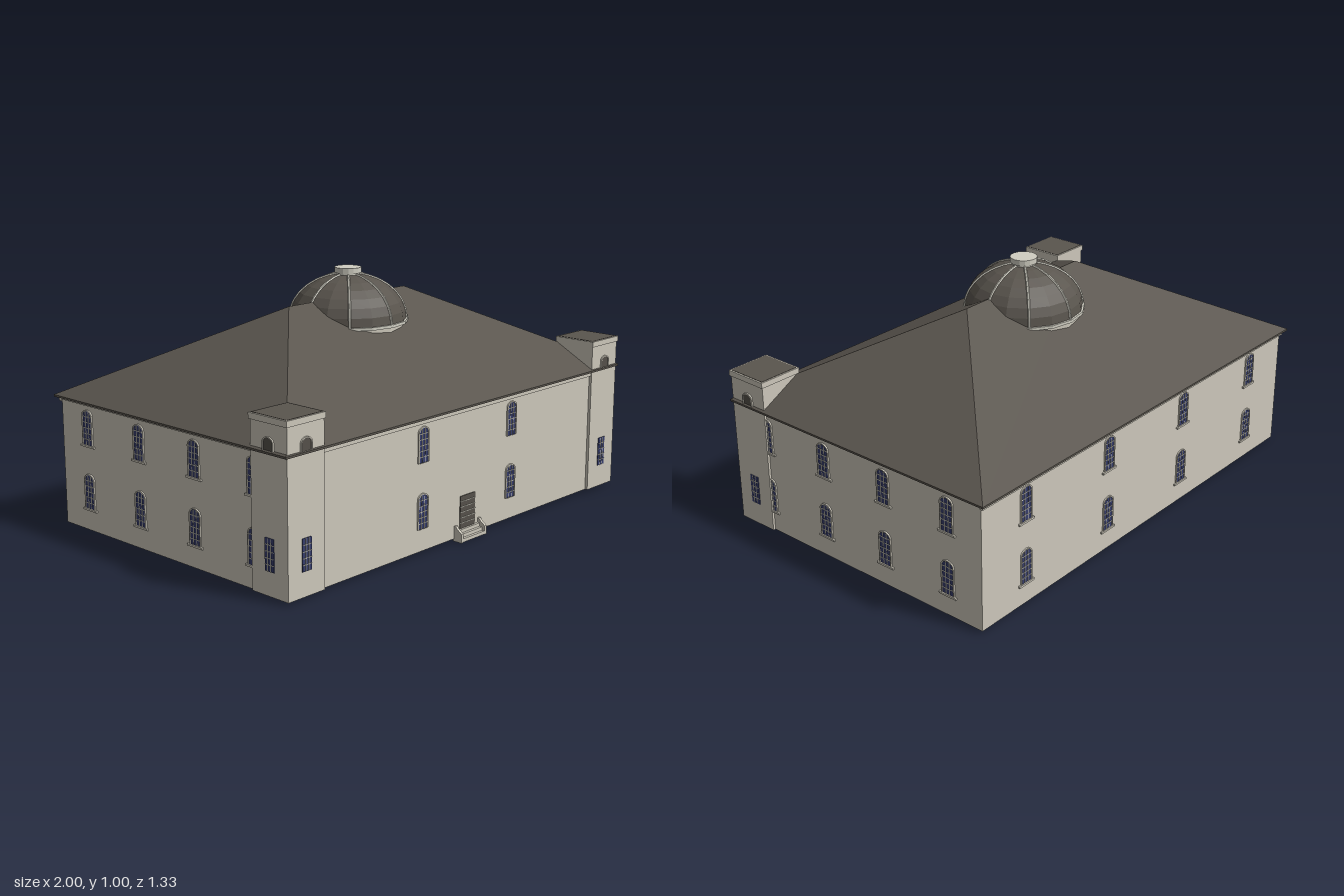
import * as THREE from 'three';

const mat = (name, color, side = THREE.FrontSide, flatShading = true) =>
  Object.assign(new THREE.MeshStandardMaterial({ color, side, flatShading }), { name });

export function createModel() {
  const stone = mat('stone', 0xcdc8bb, THREE.DoubleSide);
  const trim = mat('pale trim', 0xd0cec2);
  const slate = mat('dark roof', 0x5a554e, THREE.DoubleSide);
  const glass = mat('blue glass', 0x363d6c);
  const louvre = mat('dark louvre', 0x55514a);

  const root = new THREE.Group();
  root.name = 'domedHall';

  const add = (name, geo, material, x = 0, y = 0, z = 0, parent = root) => {
    const m = new THREE.Mesh(geo, material);
    m.name = name;
    m.position.set(x, y, z);
    parent.add(m);
    return m;
  };
  const box = (name, w, h, d, material, x, y, z, parent) =>
    add(name, new THREE.BoxGeometry(w, h, d), material, x, y, z, parent);
  const fromTriangles = (pts) => {
    const g = new THREE.BufferGeometry();
    g.setAttribute('position', new THREE.Float32BufferAttribute(pts.flat(), 3));
    g.computeVertexNormals();
    return g;
  };
  const quad = (a, b, c, d) => [a, b, c, a, c, d];

  // Outer walls: one open sheet around the plan, with corner towers stepping out
  const half = [[0.81, 0.632], [0.81, 0.644], [0.99, 0.644], [0.99, 0.463], [0.98, 0.463], [0.98, -0.634]];
  const plan = [...half, ...half.map(([x, z]) => [-x, z]).reverse()];
  const wallPts = [];
  plan.forEach(([x, z], i) => {
    const [u, w] = plan[(i + 1) % plan.length];
    wallPts.push(...quad([x, 0.01, z], [u, 0.01, w], [u, 0.532, w], [x, 0.532, z]));
  });
  add('outerWalls', fromTriangles(wallPts), stone);

  // Cornice under the eaves
  box('frontCornice', 1.62, 0.02, 0.01, stone, 0, 0.521, 0.635);
  box('backCornice', 1.97, 0.02, 0.014, stone, 0, 0.521, -0.639);
  for (const s of [-1, 1]) box('sideCornice', 0.008, 0.012, 1.097, stone, s * 0.983, 0.525, -0.0855);

  // Hipped roof with a thin fascia
  const X = 1, Z1 = 0.65, Z0 = -0.66, e = 0.536, ridgeZ = -0.005;
  const c = [[X, e, Z1], [X, e, Z0], [-X, e, Z0], [-X, e, Z1]];
  const R = [0.34, 0.882, ridgeZ], L = [-0.34, 0.882, ridgeZ];
  const roofPts = [
    ...quad(c[3], c[0], R, L), ...quad(c[1], c[2], L, R),
    c[0], c[1], R, c[2], c[3], L,
  ];
  c.forEach((a, i) => {
    const b = c[(i + 1) % 4];
    roofPts.push(...quad([a[0], 0.528, a[2]], [b[0], 0.528, b[2]], b, a));
  });
  add('hippedRoof', fromTriangles(roofPts), slate);

  // Window and door parts
  const outline = (w, h, arched, PathType = THREE.Shape) => {
    const p = new PathType();
    const r = w / 2, spring = arched ? h - r * 0.8 : h;
    p.moveTo(-r, 0);
    p.lineTo(r, 0);
    p.lineTo(r, spring);
    if (arched) p.absellipse(0, spring, r, r * 0.8, 0, Math.PI, false);
    else p.lineTo(-r, h);
    p.closePath();
    return p;
  };
  const plate = (shape, depth) =>
    new THREE.ExtrudeGeometry(shape, { depth, bevelEnabled: false, curveSegments: 8 });

  const windowTemplate = ({ name, w, h, arched, fill = glass, cols = 3, rows = 6, frame = true, sill = true }) => {
    const g = new THREE.Group();
    g.name = name;
    add('pane', plate(outline(w, h, arched), 0.007), fill, 0, 0, -0.004, g);
    if (frame) {
      const ring = outline(w + 0.01, h + 0.005, arched);
      ring.holes.push(outline(w, h, arched, THREE.Path));
      add('surround', plate(ring, 0.006), stone, 0, 0, 0, g);
    }
    // glazing bars, kept inside the arch
    for (let i = 1; i < cols; i++) {
      const x = -w / 2 + (w * i) / cols, bh = h - (arched ? w * 0.06 : 0);
      box('uprightBar', 0.0025, bh, 0.002, trim, x, bh / 2, 0.004, g);
    }
    for (let i = 1; i < rows; i++) {
      const y = (h * i) / rows;
      const over = arched ? Math.max(0, (y - (h - w * 0.4)) / (w * 0.4)) : 0;
      box('crossBar', w * Math.sqrt(1 - over * over), 0.0025, 0.002, trim, 0, y, 0.004, g);
    }
    if (sill) box('sill', w + 0.03, 0.008, 0.008, stone, 0, -0.004, 0.004, g);
    return g;
  };
  const place = (template, x, y, z, turn = 0) => {
    const g = template.clone();
    g.position.set(x, y, z);
    g.rotation.y = turn;
    root.add(g);
  };

  const archedWindow = windowTemplate({ name: 'archedWindow', w: 0.052, h: 0.137, arched: true });
  const frontWindow = windowTemplate({ name: 'frontWindow', w: 0.05, h: 0.135, arched: true, sill: false });
  const towerWindow = windowTemplate({ name: 'towerWindow', w: 0.045, h: 0.122, rows: 5, frame: false, sill: false });
  const towerVent = windowTemplate({ name: 'towerVent', w: 0.045, h: 0.046, arched: true, fill: louvre, cols: 1, rows: 1, sill: false });
  const door = windowTemplate({ name: 'frontDoor', w: 0.092, h: 0.132, fill: louvre, cols: 1, rows: 6, frame: false, sill: false });

  // Two storeys of windows
  for (const y of [0.1, 0.36]) {
    for (const x of [-0.27, 0.27]) place(frontWindow, x, y, 0.632);
    for (const x of [-0.74, -0.247, 0.247, 0.74]) place(archedWindow, x, y, -0.634, Math.PI);
    for (const s of [-1, 1])
      for (let i = 0; i < 4; i++) place(archedWindow, s * 0.98, y, 0.466 - i * 0.313, s * Math.PI / 2);
  }
  place(door, 0, 0.043, 0.632);

  // Corner towers: open-bottomed upper stage, cap and flat roof
  for (const s of [-1, 1]) {
    const x0 = 0.81, x1 = 0.99, z0 = 0.463, z1 = 0.644;
    const ring = [[x0, z1], [x1, z1], [x1, z0], [x0, z0]];
    const pts = [];
    ring.forEach(([x, z], i) => {
      const [u, w] = ring[(i + 1) % 4];
      const q = [[x * s, 0.533, z], [u * s, 0.533, w], [u * s, 0.64, w], [x * s, 0.64, z]];
      pts.push(...(s > 0 ? quad(...q) : quad(...q.reverse())));
    });
    add('towerUpperStage', fromTriangles(pts), stone);
    box('towerCap', 0.19, 0.023, 0.19, stone, s * 0.9, 0.648, 0.5535);
    box('towerFlatRoof', 0.176, 0.004, 0.176, slate, s * 0.9, 0.659, 0.5535);
    place(towerWindow, s * 0.9, 0.105, 0.644);
    place(towerWindow, s * 0.99, 0.103, 0.5535, s * Math.PI / 2);
    place(towerVent, s * 0.9, 0.538, 0.644);
    place(towerVent, s * 0.99, 0.538, 0.5535, s * Math.PI / 2);
  }

  // Front steps between sloping cheek walls
  for (let i = 0; i < 3; i++)
    box('step', 0.136, 0.014, 0.042 - i * 0.012, stone, 0, 0.008 + i * 0.014, 0.63 + (0.042 - i * 0.012) / 2 - 0.004);
  const cheek = new THREE.Shape();
  [[0, 0], [0.042, 0], [0.042, 0.036], [0.02, 0.052], [0.012, 0.062], [0, 0.062]].forEach(([a, b], i) =>
    i ? cheek.lineTo(a, b) : cheek.moveTo(a, b));
  for (const x of [-0.078, 0.066]) {
    const m = add('stepCheek', plate(cheek, 0.012), stone, x + 0.012, 0, 0.627);
    m.rotation.y = -Math.PI / 2;
  }

  // Dome on a low drum, with eight ribs and a small lantern
  const dome = new THREE.Group();
  dome.name = 'dome';
  dome.position.z = -0.008;
  root.add(dome);
  const r = 0.24, base = 0.79, rise = 0.187;
  const arc = [];
  for (let i = 0; i <= 7; i++) {
    const a = (i / 7) * Math.PI * 0.46;
    arc.push(new THREE.Vector2(r * Math.cos(a), base + rise * Math.sin(a)));
  }
  add('drum', new THREE.CylinderGeometry(0.234, 0.234, 0.03, 16, 1, true), stone, 0, 0.77, 0, dome);
  add('domeRing', new THREE.CylinderGeometry(0.248, 0.248, 0.012, 16), trim, 0, 0.787, 0, dome);
  add('domeShell', new THREE.LatheGeometry(arc, 16), slate, 0, 0, 0, dome);
  const ribPath = new THREE.CurvePath();
  for (let i = 0; i < 7; i++)
    ribPath.add(new THREE.LineCurve3(
      new THREE.Vector3(arc[i].x, arc[i].y, 0), new THREE.Vector3(arc[i + 1].x, arc[i + 1].y, 0)));
  const ribGeo = new THREE.TubeGeometry(ribPath, 21, 0.0055, 6);
  for (let i = 0; i < 8; i++) add('domeRib', ribGeo, trim, 0, 0, 0, dome).rotation.y = (i * Math.PI) / 4;
  add('lantern', new THREE.CylinderGeometry(0.05, 0.05, 0.03, 16), trim, 0, 0.978, 0, dome);
  add('lanternCap', new THREE.CylinderGeometry(0.055, 0.055, 0.022, 16), trim, 0, 0.99, 0, dome);

  return root;
}
